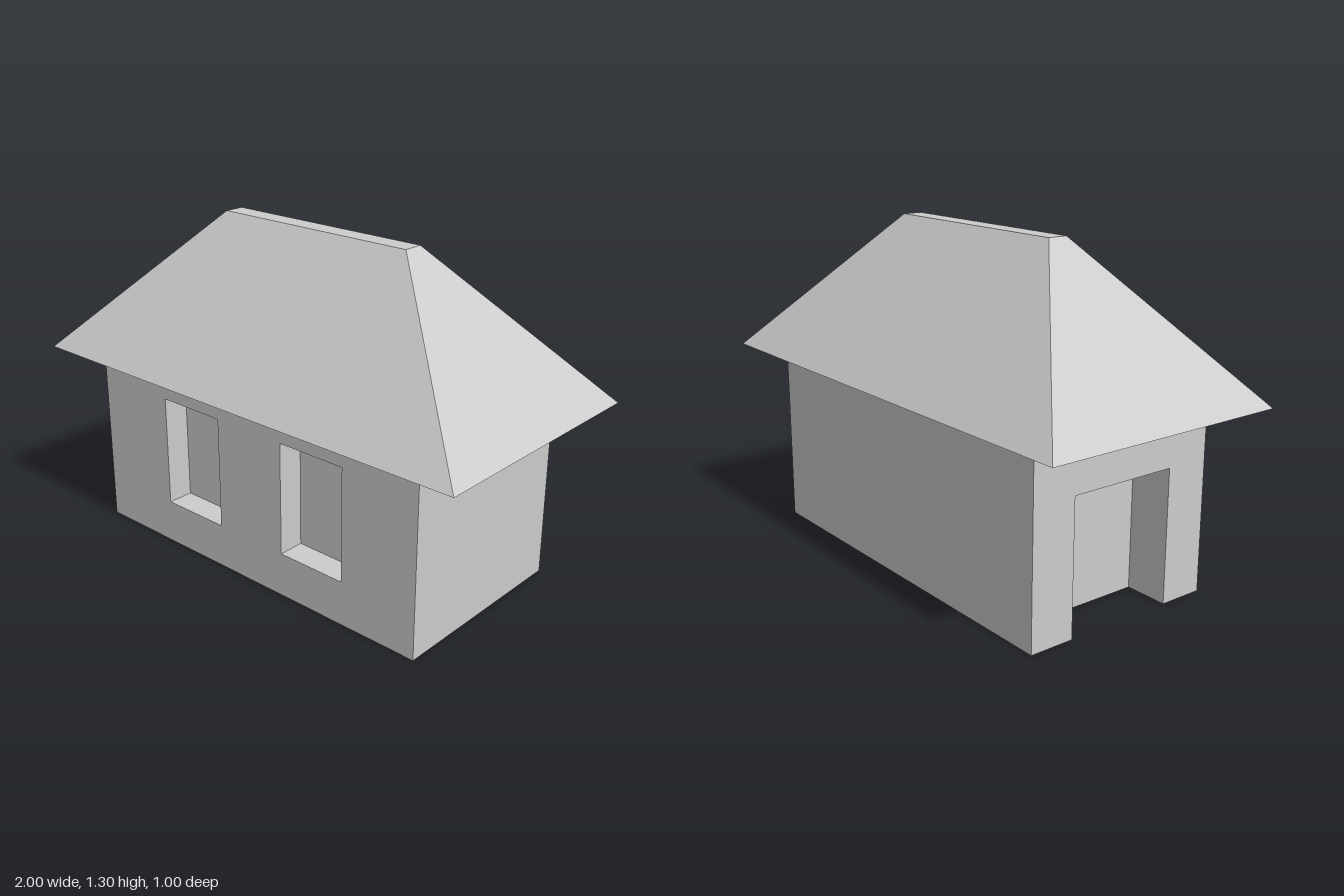
import * as THREE from 'three';

const HALF_X = 0.796, HALF_Z = 0.398, WALL_TOP = 0.8;
const WINDOWS = [[-0.435, 0.175, -0.14, 0.62], [0.18, 0.175, 0.47, 0.62]]; // x0, y0, x1, y1
const WINDOW_DEPTH = 0.105;
const DOOR = { half: 0.22, height: 0.515, depth: 0.175 };

const grey = new THREE.MeshStandardMaterial({ color: 0xcccccc });
grey.name = 'plain grey';

function part(name, geometry, parent) {
  const mesh = new THREE.Mesh(geometry, grey);
  mesh.name = name;
  parent.add(mesh);
  return mesh;
}

const outline = (points) => new THREE.Shape(points.map(([x, y]) => new THREE.Vector2(x, y)));
const rectangle = (x0, y0, x1, y1) => [[x0, y0], [x1, y0], [x1, y1], [x0, y1]];

// Inside-out box behind z = 0, without the listed sides (0..5 = +x -x +y -y +z -z)
function recess([x0, y0, x1, y1], depth, openSides) {
  const box = new THREE.BoxGeometry(x1 - x0, y1 - y0, depth);
  box.translate((x0 + x1) / 2, (y0 + y1) / 2, -depth / 2);
  const kept = [...box.index.array].filter((_, i) => !openSides.includes(Math.floor(i / 6)));
  box.setIndex(kept.reverse());
  box.clearGroups();
  const inside = box.toNonIndexed();
  inside.computeVertexNormals();
  return inside;
}

// A wall drawn in its own xy plane, then turned and pushed out from the centre
function wall(name, shape, turn, distance, parent) {
  const group = new THREE.Group();
  group.name = name;
  group.rotation.y = turn;
  group.position.set(Math.sin(turn) * distance, 0, Math.cos(turn) * distance);
  part(name + 'Face', new THREE.ShapeGeometry(shape), group);
  parent.add(group);
  return group;
}

// Rectangular rings [half x, y, half z] joined by flat panels; the last ring is capped
function ringSolid(rings) {
  const corner = ([x, y, z], i) => [[x, y, z], [x, y, -z], [-x, y, -z], [-x, y, z]][i % 4];
  const positions = [];
  const quad = (a, b, c, d) => positions.push(...a, ...b, ...c, ...a, ...c, ...d);
  for (let r = 0; r < rings.length - 1; r++) {
    for (let i = 0; i < 4; i++) {
      quad(corner(rings[r], i), corner(rings[r], i + 1), corner(rings[r + 1], i + 1), corner(rings[r + 1], i));
    }
  }
  const top = rings[rings.length - 1];
  quad(corner(top, 0), corner(top, 1), corner(top, 2), corner(top, 3));
  const geometry = new THREE.BufferGeometry();
  geometry.setAttribute('position', new THREE.Float32BufferAttribute(positions, 3));
  geometry.computeVertexNormals();
  return geometry;
}

export function createModel() {
  const house = new THREE.Group();
  house.name = 'house';

  // Front wall with two recessed windows
  const frontShape = outline(rectangle(-HALF_X, 0, HALF_X, WALL_TOP));
  WINDOWS.forEach((w) => frontShape.holes.push(outline(rectangle(...w))));
  const front = wall('frontWall', frontShape, 0, HALF_Z, house);
  WINDOWS.forEach((w) => part('windowRecess', recess(w, WINDOW_DEPTH, [4]), front));

  // Plain back and left walls
  wall('backWall', outline(rectangle(-HALF_X, 0, HALF_X, WALL_TOP)), Math.PI, HALF_Z, house);
  wall('leftWall', outline(rectangle(-HALF_Z, 0, HALF_Z, WALL_TOP)), Math.PI / 2, HALF_X, house);

  // Right wall with a recessed doorway that is open at the bottom
  const { half, height, depth } = DOOR;
  const doorShape = outline([
    [-HALF_Z, 0], [-half, 0], [-half, height], [half, height],
    [half, 0], [HALF_Z, 0], [HALF_Z, WALL_TOP], [-HALF_Z, WALL_TOP],
  ]);
  const right = wall('rightWall', doorShape, -Math.PI / 2, HALF_X, house);
  part('doorRecess', recess([-half, 0, half, height], depth, [3, 4]), right);

  // Underside, notched at the doorway
  const inner = -HALF_X + depth;
  const floorShape = outline([
    [-HALF_X, -HALF_Z], [HALF_X, -HALF_Z], [HALF_X, HALF_Z], [-HALF_X, HALF_Z],
    [-HALF_X, half], [inner, half], [inner, -half], [-HALF_X, -half],
  ]);
  part('floor', new THREE.ShapeGeometry(floorShape), house).rotation.x = Math.PI / 2;

  // Hipped roof: sloping soffit, eaves, flat ridge
  part('roof', ringSolid([
    [HALF_X, WALL_TOP, HALF_Z],
    [1, 0.728, 0.5],
    [0.438, 1.297, 0.04],
  ]), house);

  return house;
}
